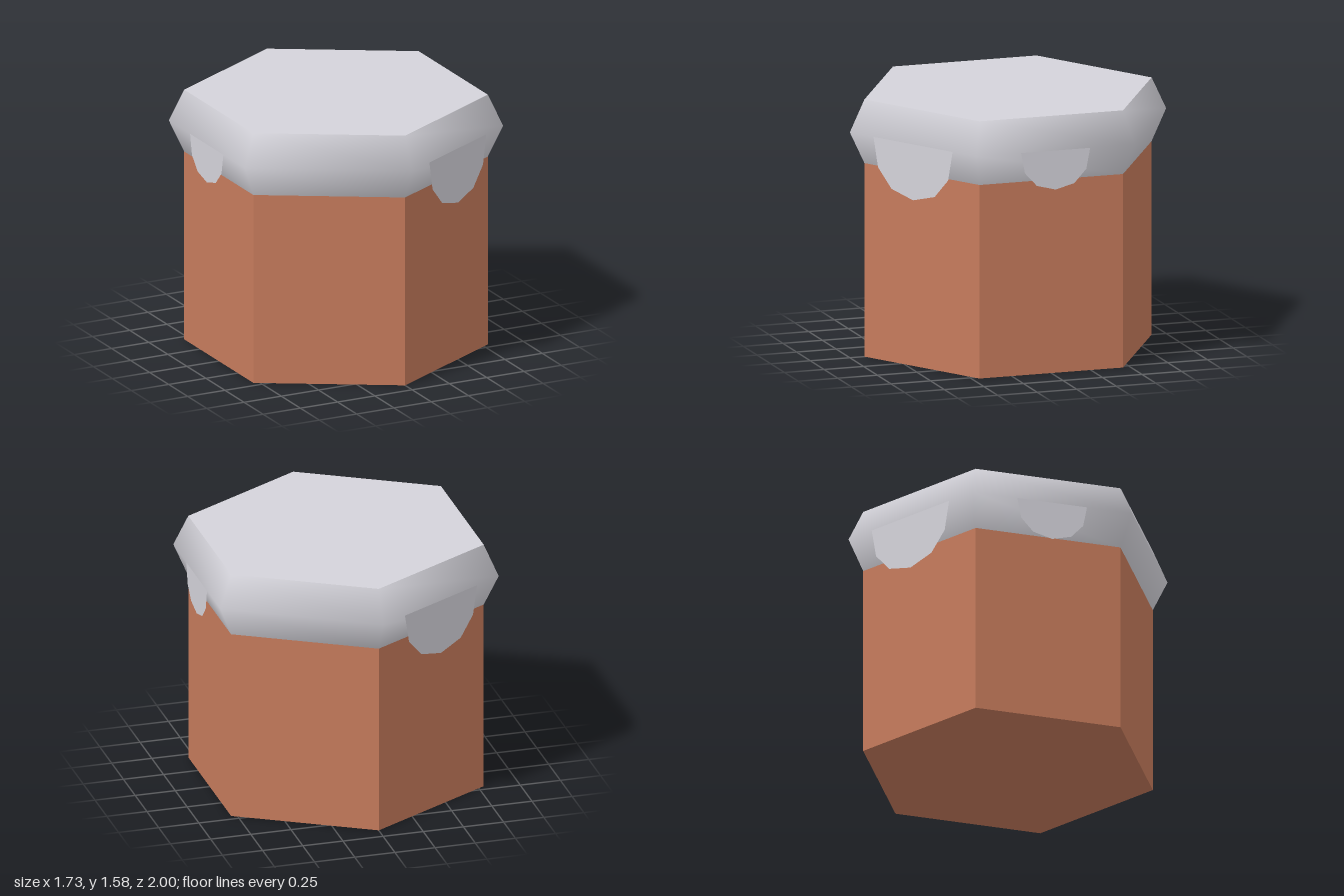
import * as THREE from 'three';

const SIDES = 6;
const INNER = 0.908;   // corner radius of the body and the cap's rims
const RIM_Y = 1.185;   // where the cap meets the body
const RIDGE_Y = 1.38;  // widest level of the cap
const TOP_Y = 1.575;

export function createModel() {
  const model = new THREE.Group();
  model.name = 'cappedHexColumn';

  const clay = new THREE.MeshStandardMaterial({ color: 0xc67b5c, flatShading: true });
  clay.name = 'terracotta';
  const grey = new THREE.MeshStandardMaterial({ color: 0xd4d3da, side: THREE.DoubleSide });
  grey.name = 'paleGrey';

  const add = (name, geometry, material, parent = model) => {
    const mesh = new THREE.Mesh(geometry, material);
    mesh.name = name;
    parent.add(mesh);
    return mesh;
  };

  // Hexagonal body with corners on the z axis
  const body = add('body', new THREE.CylinderGeometry(INNER, INNER, RIM_Y, SIDES), clay);
  body.position.y = RIM_Y / 2;

  // Cap: smooth bulging band and flat lid
  const cap = new THREE.Group();
  cap.name = 'cap';
  model.add(cap);
  const profile = [[INNER, RIM_Y], [1, RIDGE_Y], [INNER, TOP_Y]].map(([r, y]) => new THREE.Vector2(r, y));
  add('capBand', new THREE.LatheGeometry(profile, SIDES), grey, cap);
  const lid = add('capLid', new THREE.CircleGeometry(INNER, SIDES, Math.PI / 2), grey, cap);
  lid.rotation.x = -Math.PI / 2;
  lid.position.y = TOP_Y;

  // Drips: flat tongues hanging from the ridge, repeated on opposite faces
  const half = [[0.312, 0], [0.277, -0.18], [0.17, -0.297], [0, -0.342]];
  const outline = [...half, ...half.slice(0, 3).reverse().map(([x, y]) => [-x, y])];
  const dripGeometry = new THREE.ShapeGeometry(
    new THREE.Shape(outline.reverse().map(([x, y]) => new THREE.Vector2(x, y))));
  const apothem = Math.cos(Math.PI / SIDES) + 0.001;
  const drips = [['largeDrip', Math.PI / 6, 1], ['smallDrip', Math.PI / 2, 0.7]];
  for (const [name, angle, scale] of drips) {
    for (const [end, turn] of [['Front', 0], ['Back', Math.PI]]) {
      const drip = add(name + end, dripGeometry, grey);
      const a = angle + turn;
      drip.position.set(Math.sin(a) * apothem, RIDGE_Y, Math.cos(a) * apothem);
      drip.rotation.y = a;
      drip.scale.set(scale, scale, 1);
    }
  }

  return model;
}
